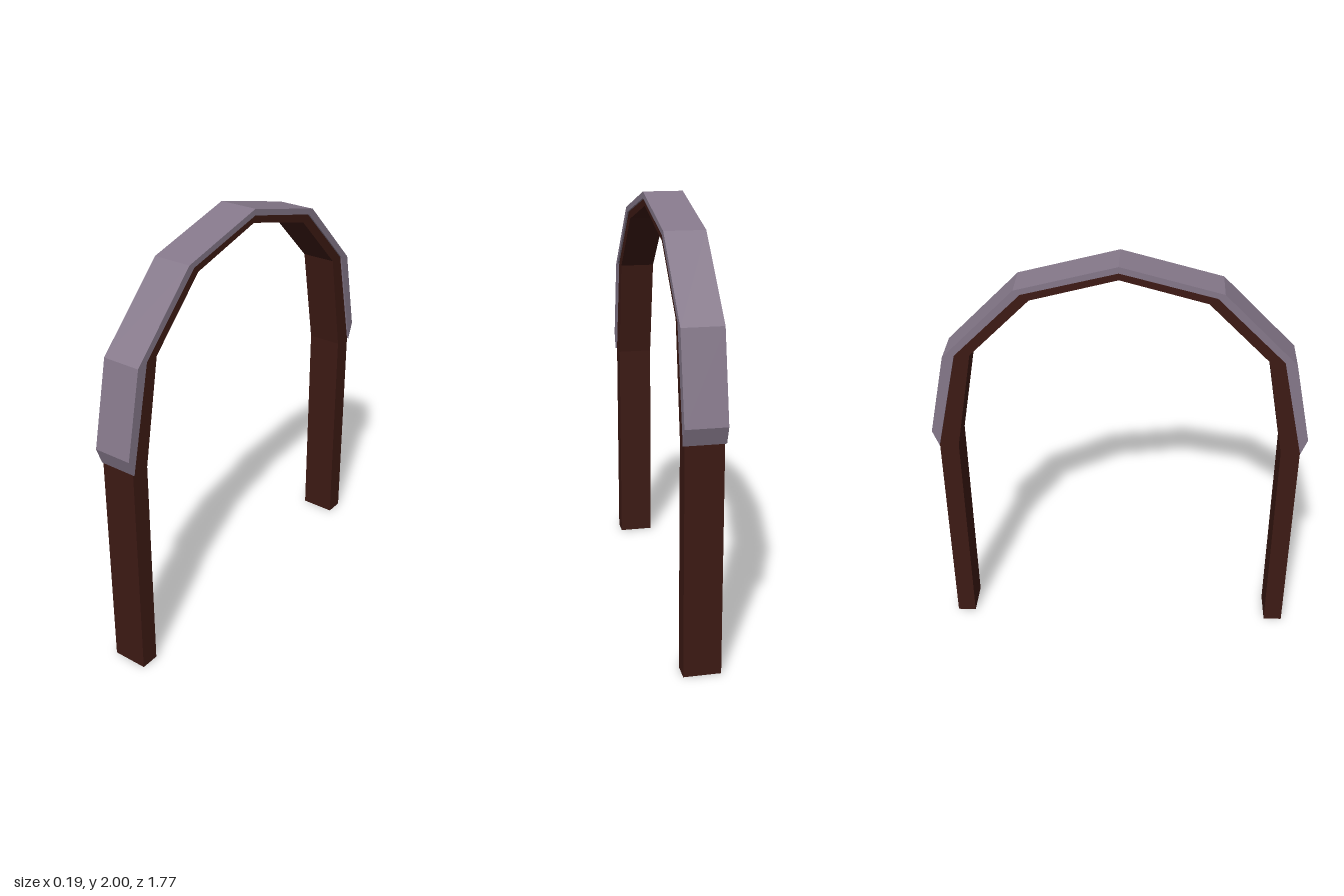
import * as THREE from 'three';

// Closed band from half-profiles [z, y], listed from the foot to the crown, mirrored in z
function archBand(name, outer, inner, width, color) {
  const mirror = (pts) => [...pts, ...pts.slice(0, -1).reverse().map(([z, y]) => [-z, y])];
  const outline = [...mirror(outer), ...mirror(inner).reverse()];
  const shape = new THREE.Shape(outline.map(([z, y]) => new THREE.Vector2(z, y)));
  const geometry = new THREE.ExtrudeGeometry(shape, { depth: width, bevelEnabled: false });
  geometry.translate(0, 0, -width / 2);
  geometry.rotateY(-Math.PI / 2);
  const mesh = new THREE.Mesh(geometry, new THREE.MeshStandardMaterial({ color, flatShading: true }));
  mesh.name = name;
  return mesh;
}

export function createModel() {
  const group = new THREE.Group();
  group.name = 'archway';

  // Wooden frame: two straight legs joined by a faceted arch
  const shoulder = [[0.855, 1.06], [0.745, 1.55], [0.43, 1.86], [0, 1.97]];
  group.add(archBand('woodenFrame',
    [[0.855, 0], ...shoulder],
    [[0.765, 0], [0.765, 1.06], [0.675, 1.55], [0.393, 1.83], [0, 1.935]],
    0.17, 0x3d1a14));

  // Capping over the arch, slightly wider than the frame, flared at its ends
  group.add(archBand('archCapping',
    [[0.885, 1.14], [0.8, 1.54], [0.46, 1.88], [0, 2]],
    shoulder,
    0.186, 0x85788a));

  return group;
}
